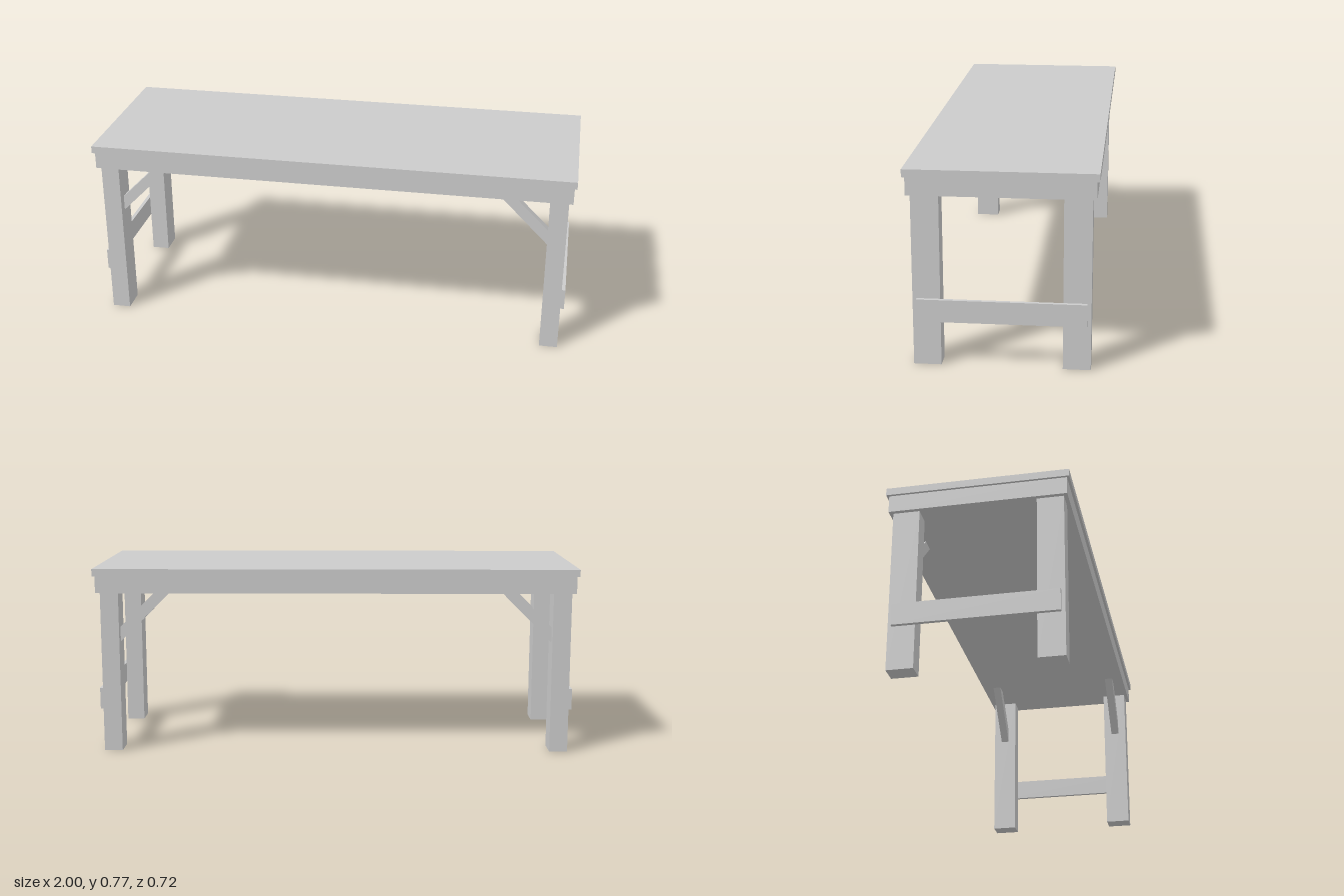
import * as THREE from 'three';

const material = new THREE.MeshStandardMaterial({ color: 0xcccccc, flatShading: true });

function add(group, name, geometry, x = 0, y = 0, z = 0) {
  const mesh = new THREE.Mesh(geometry, material);
  mesh.name = name;
  mesh.position.set(x, y, z);
  group.add(mesh);
  return mesh;
}

// Box given by its lower and upper limits on each axis
function addBox(group, name, [x0, x1], [y0, y1], [z0, z1]) {
  return add(group, name, new THREE.BoxGeometry(x1 - x0, y1 - y0, z1 - z0),
    (x0 + x1) / 2, (y0 + y1) / 2, (z0 + z1) / 2);
}

// Diagonal brace with ends cut flush to the leg and the apron
function braceGeometry(side) {
  const points = [[0.899, 0.46], [0.899, 0.523], [0.748, 0.672], [0.687, 0.672]];
  const shape = new THREE.Shape(points.map(([x, y]) => new THREE.Vector2(side * x, y)));
  const depth = 0.035;
  return new THREE.ExtrudeGeometry(shape, { depth, bevelEnabled: false }).translate(0, 0, -depth / 2);
}

export function createModel() {
  const table = new THREE.Group();
  table.name = 'table';

  // Top board and the apron block below it
  addBox(table, 'tabletop', [-1, 1], [0.742, 0.772], [-0.36, 0.36]);
  addBox(table, 'apron', [-0.99, 0.99], [0.671, 0.742], [-0.35, 0.35]);

  for (const side of [-1, 1]) {
    const end = new THREE.Group();
    end.name = side > 0 ? 'leftEnd' : 'rightEnd';
    table.add(end);

    // Legs with their braces
    for (const face of [-1, 1]) {
      const prefix = face > 0 ? 'front' : 'back';
      add(end, prefix + 'Leg', new THREE.BoxGeometry(0.075, 0.671, 0.105), side * 0.936, 0.3355, face * 0.2825);
      add(end, prefix + 'Brace', braceGeometry(side), 0, 0, face * 0.2825);
    }

    // Stretcher board on the outside of the legs
    add(end, 'stretcher', new THREE.BoxGeometry(0.015, 0.088, 0.64), side * 0.981, 0.222, 0);
  }
  return table;
}
